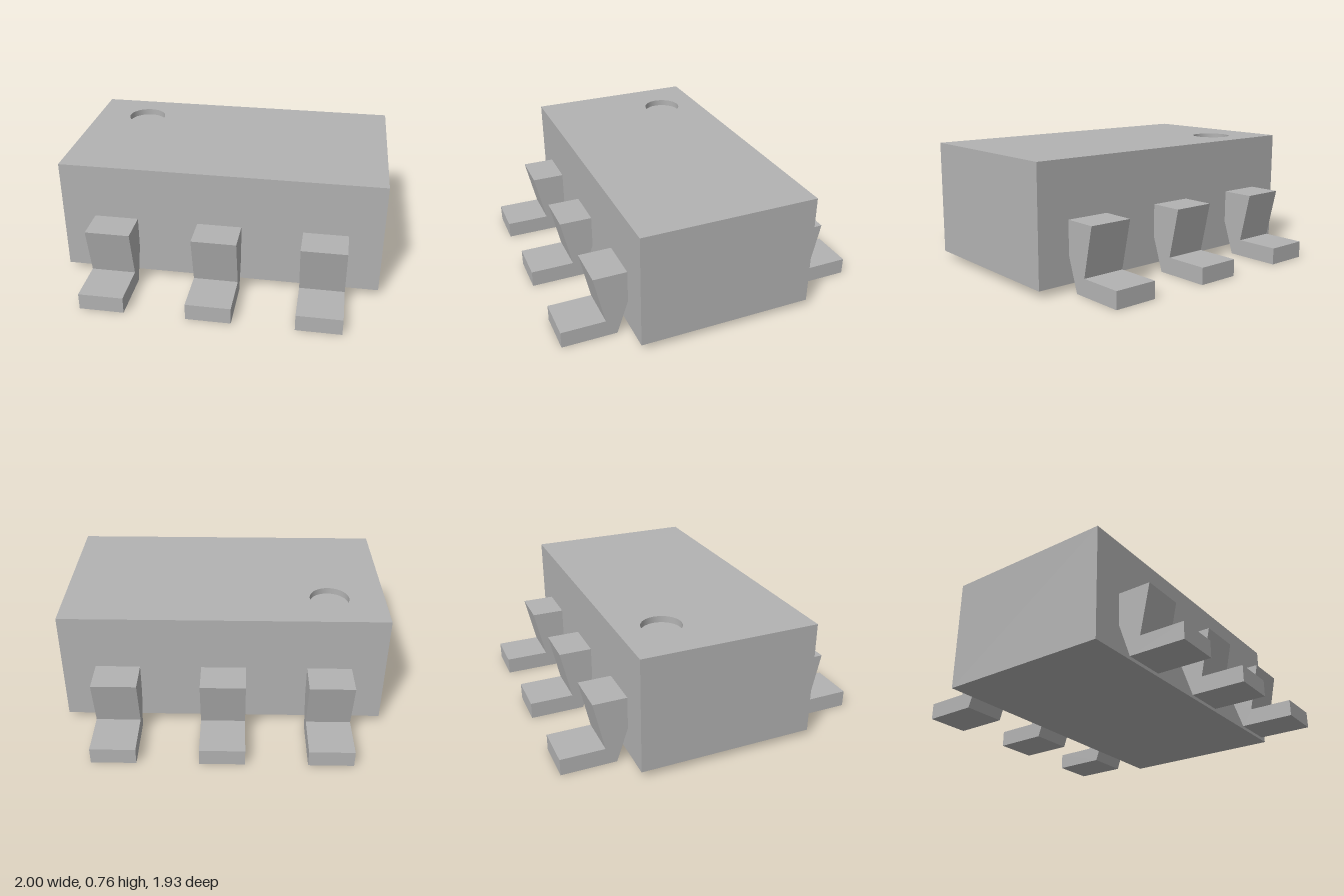
import * as THREE from 'three';
import { toCreasedNormals } from 'three/addons/utils/BufferGeometryUtils.js';

const WIDTH = 2, DEPTH = 1.1, BOTTOM = 0.04, TOP = 0.76;
const DOT = { x: -0.655, z: -0.28, r: 0.123, depth: 0.04, segments: 48 };

export function createModel() {
  const model = new THREE.Group();
  model.name = 'chipPackage';
  const grey = new THREE.MeshStandardMaterial({ color: 0xb2b2b2 });
  grey.name = 'plain grey';

  const add = (name, geometry, parent = model) => {
    const mesh = new THREE.Mesh(geometry, grey);
    mesh.name = name;
    parent.add(mesh);
    return mesh;
  };

  // Body: a box without its top face
  const body = new THREE.Group();
  body.name = 'body';
  model.add(body);
  const shell = new THREE.BoxGeometry(WIDTH, TOP - BOTTOM, DEPTH);
  const index = Array.from(shell.index.array);
  index.splice(12, 6);
  shell.setIndex(index);
  shell.clearGroups();
  add('bodyShell', shell, body).position.y = (TOP + BOTTOM) / 2;

  // Top face with a round opening for the pin marker
  const w = WIDTH / 2, d = DEPTH / 2;
  const face = new THREE.Shape([[-w, -d], [w, -d], [w, d], [-w, d]].map(p => new THREE.Vector2(...p)));
  face.holes.push(new THREE.Path().absarc(DOT.x, -DOT.z, DOT.r, 0, Math.PI * 2, true));
  const topFace = new THREE.ShapeGeometry(face, DOT.segments / 2).rotateX(-Math.PI / 2);
  add('bodyTop', topFace, body).position.y = TOP;

  // Shallow well, wall then floor
  const well = new THREE.LatheGeometry([
    new THREE.Vector2(DOT.r, 0),
    new THREE.Vector2(DOT.r, -DOT.depth),
    new THREE.Vector2(0, -DOT.depth),
  ], DOT.segments);
  add('pinMarkerWell', toCreasedNormals(well, 0.6), body).position.set(DOT.x, TOP, DOT.z);

  // Bent lead: side profile in (z, y), extruded across x
  const leadWidth = 0.276;
  const profile = new THREE.Shape([
    [0.55, 0.21], [0.622, 0], [0.965, 0], [0.965, 0.105],
    [0.69, 0.105], [0.757, 0.415], [0.55, 0.415],
  ].map(p => new THREE.Vector2(...p)));
  const lead = new THREE.ExtrudeGeometry(profile, { depth: leadWidth, bevelEnabled: false })
    .translate(0, 0, -leadWidth / 2)
    .rotateY(-Math.PI / 2);

  // Three leads on each long side
  for (const x of [-0.655, 0, 0.655]) {
    add('frontLead', lead).position.x = x;
    const back = add('backLead', lead);
    back.position.x = x;
    back.rotation.y = Math.PI;
  }
  return model;
}
